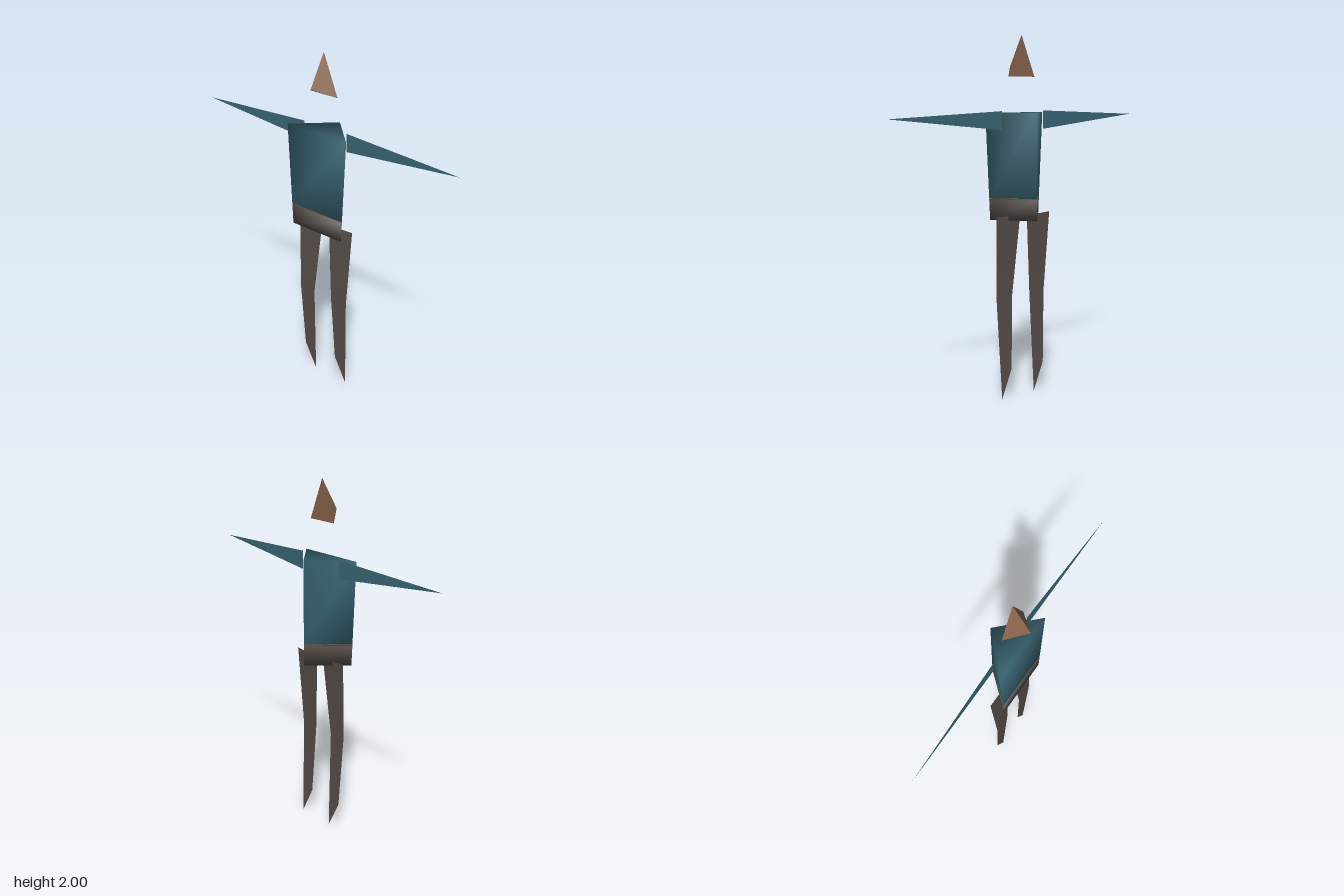
import * as THREE from 'three';

// Indexed mesh from a few corners; shared corners give smooth normals
function faceMesh(name, points, faces, material) {
  const g = new THREE.BufferGeometry();
  g.setAttribute('position', new THREE.Float32BufferAttribute(points.flat(), 3));
  g.setIndex(faces.flat());
  g.computeVertexNormals();
  const mesh = new THREE.Mesh(g, material);
  mesh.name = name;
  return mesh;
}

// Thin sheet lofted between pairs of points, one pair per cross-section
function sheet(name, pairs, material) {
  const faces = [];
  for (let i = 0; i < pairs.length - 1; i++) {
    const a = i * 2;
    faces.push([a, a + 2, a + 1], [a + 1, a + 2, a + 3]);
  }
  return faceMesh(name, pairs.flat(), faces, material);
}

// Closed triangular prism, flat side to the front, tapering downwards
function prism(name, y0, w0, y1, w1, material) {
  const ring = (y, w) => [[-w, y, 0.077], [w, y, 0.077], [0, y, -0.116]];
  const faces = [[0, 2, 1], [3, 4, 5]];
  for (let i = 0; i < 3; i++) {
    const j = (i + 1) % 3;
    faces.push([i, j, j + 3], [i, j + 3, i + 3]);
  }
  // bottom ring runs front right, front left, back: outward winding
  return faceMesh(name, [...ring(y0, w0), ...ring(y1, w1)], faces, material);
}

export function createModel() {
  const group = new THREE.Group();
  const mat = (name, color, side = THREE.DoubleSide) => {
    const m = new THREE.MeshStandardMaterial({ color, side });
    m.name = name;
    return m;
  };
  const teal = mat('teal cloth', 0x3a6876);
  const brown = mat('dark brown cloth', 0x574e49);
  const skin = mat('skin', 0x8a644d);

  // Head: a leaning pyramid with its point to the front
  const head = faceMesh('head',
    [[0, 2, 0.015], [-0.09, 1.778, 0.015], [0.09, 1.778, 0.015], [0, 1.83, 0.118]],
    [[0, 1, 3], [0, 3, 2], [0, 2, 1], [1, 2, 3]], skin);
  head.geometry = head.geometry.toNonIndexed();
  head.geometry.computeVertexNormals();
  group.add(head);

  // Torso
  group.add(prism('shirt', 1.124, 0.176, 1.585, 0.198, teal));
  group.add(prism('waistGap', 1.12, 0.175, 1.124, 0.175, skin));
  group.add(prism('hips', 1.003, 0.17, 1.12, 0.176, brown));

  // Arms: flat blades tapering to a point
  for (const [s, name] of [[1, 'leftArm'], [-1, 'rightArm']]) {
    const p = [[s * 0.143, 1.595, 0.004], [s * 0.143, 1.494, 0.004], [s * 0.833, 1.565, 0.02]];
    group.add(faceMesh(name, p, [s > 0 ? [0, 1, 2] : [0, 2, 1]], teal));
  }

  // Legs: flat strips, both feet pointing to the same side
  group.add(sheet('rightLeg', [
    [[-0.187, 1.03, 0], [-0.025, 1.02, 0]],
    [[-0.168, 0.57, 0.025], [-0.064, 0.57, 0.025]],
    [[-0.15, 0.16, 0.008], [-0.077, 0, 0]],
  ], brown));
  group.add(sheet('leftLeg', [
    [[0.023, 1.02, 0], [0.185, 1.03, 0]],
    [[0.06, 0.57, 0.025], [0.168, 0.57, 0.025]],
    [[0.077, 0.16, 0.008], [0.15, 0, 0]],
  ], brown));

  return group;
}
